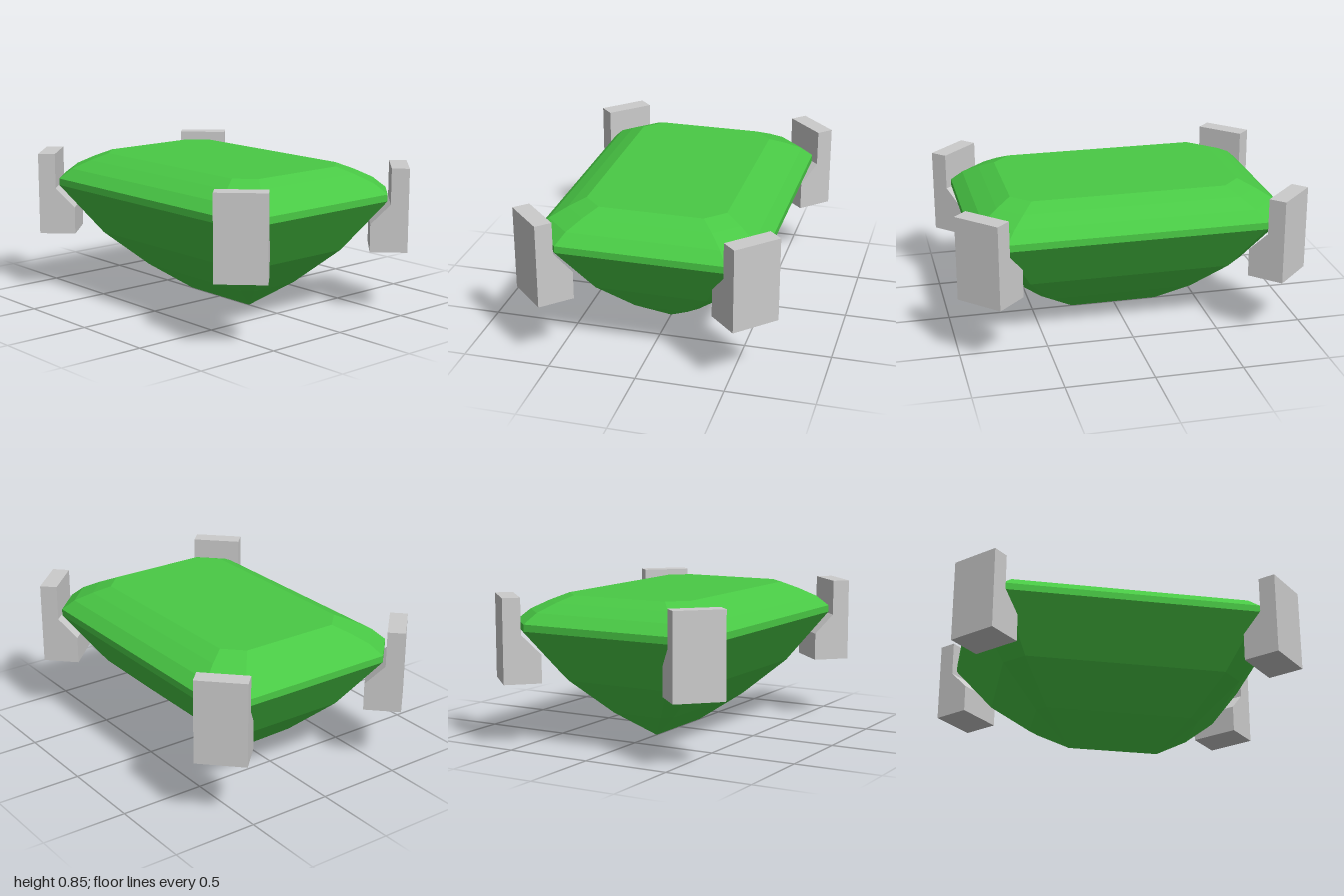
import * as THREE from 'three';

// Octagonal outline: rectangle of half-size w x d with its corners cut
function octagon(y, w, d) {
  const c = w * 0.26;
  return [
    [w, d - c], [w, c - d], [w - c, -d], [c - w, -d],
    [-w, c - d], [-w, d - c], [c - w, d], [w - c, d],
  ].map(([x, z]) => new THREE.Vector3(x, y, z));
}

// Step-cut stone lofted through the outlines, with a flat table on top
function gemGeometry(rings) {
  const points = [];
  const addTriangle = (a, b, c) => {
    if (new THREE.Triangle(a, b, c).getArea() > 1e-7) points.push(a, b, c);
  };
  for (let r = 0; r < rings.length - 1; r++) {
    const low = rings[r], high = rings[r + 1];
    for (let i = 0; i < 8; i++) {
      const j = (i + 1) % 8;
      addTriangle(low[i], low[j], high[j]);
      addTriangle(low[i], high[j], high[i]);
    }
  }
  const table = rings[rings.length - 1];
  for (let i = 1; i < 7; i++) addTriangle(table[0], table[i], table[i + 1]);
  const geometry = new THREE.BufferGeometry().setFromPoints(points);
  geometry.computeVertexNormals();
  return geometry;
}

export function createModel() {
  const model = new THREE.Group();
  model.name = 'gemSetting';

  // Stone: keel, pavilion steps, girdle, crown steps, table
  const rings = [
    [0, 0, 0.26], [0.155, 0.21, 0.475], [0.36, 0.43, 0.69],
    [0.655, 0.64, 0.9], [0.695, 0.64, 0.9],
    [0.755, 0.58, 0.835], [0.805, 0.49, 0.745], [0.845, 0.4, 0.66],
  ].map((ring) => octagon(...ring));
  const gem = new THREE.Mesh(
    gemGeometry(rings),
    new THREE.MeshStandardMaterial({ color: 0x49c945, flatShading: true }),
  );
  gem.name = 'gem';
  model.add(gem);

  // Prong: block notched on its inner side to seat the stone
  const profile = new THREE.Shape([
    [-0.107, 0.363], [0.107, 0.363], [0.107, 0.848],
    [0.006, 0.848], [0.006, 0.64], [-0.107, 0.525],
  ].map(([x, y]) => new THREE.Vector2(x, y)));
  const width = 0.288;
  const prongGeometry = new THREE.ExtrudeGeometry(profile, { depth: width, bevelEnabled: false });
  prongGeometry.translate(0, 0, -width / 2);
  const metal = new THREE.MeshStandardMaterial({ color: 0xcccccc, flatShading: true });

  // One prong at each cut corner, facing outward
  for (const sx of [1, -1]) {
    for (const sz of [1, -1]) {
      const prong = new THREE.Mesh(prongGeometry, metal);
      prong.name = (sz > 0 ? 'front' : 'back') + (sx > 0 ? 'Left' : 'Right') + 'Prong';
      prong.position.set(sx * 0.568, 0, sz * 0.823);
      prong.rotation.y = Math.atan2(-sz, sx);
      model.add(prong);
    }
  }
  return model;
}
